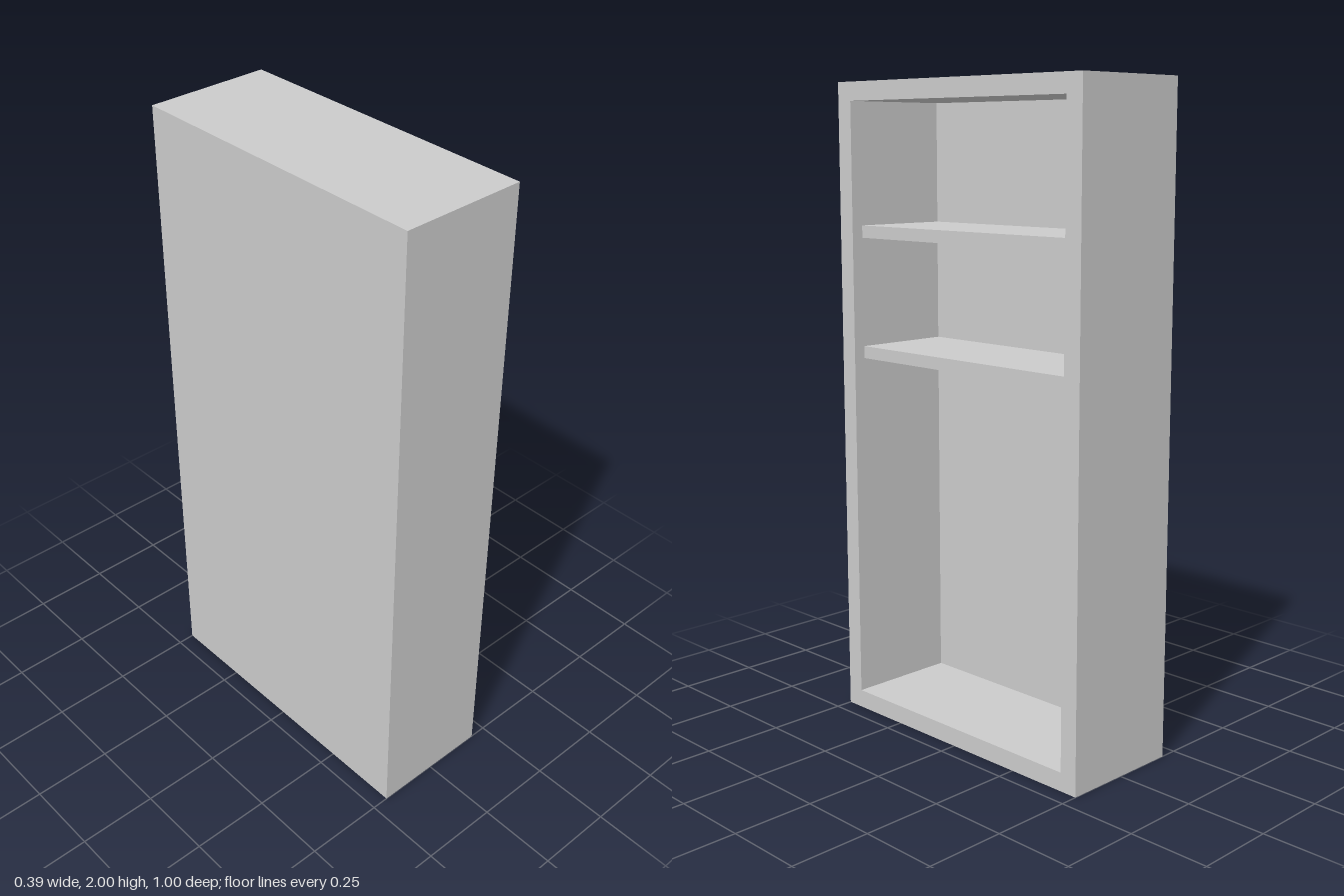
import * as THREE from 'three';

const H = 2, W = 1, D = 0.392;   // height, width along z, depth along x
const WALL = 0.057;              // side, top and bottom panels
const THIN = 0.038;              // shelves, back panel and shelf setback

export function createModel() {
  const group = new THREE.Group();
  group.name = 'openCabinet';
  const material = new THREE.MeshStandardMaterial({ color: 0xcccccc, flatShading: true });

  const add = (name, geometry) => {
    const mesh = new THREE.Mesh(geometry, material);
    mesh.name = name;
    group.add(mesh);
    return mesh;
  };

  // Rectangular frame, extruded through the depth and open towards +x
  const backX = -D / 2 + THIN;
  const z = W / 2 - WALL;
  const outline = new THREE.Shape([
    new THREE.Vector2(-W / 2, 0), new THREE.Vector2(W / 2, 0),
    new THREE.Vector2(W / 2, H), new THREE.Vector2(-W / 2, H),
  ]);
  outline.holes.push(new THREE.Path([
    new THREE.Vector2(-z, WALL), new THREE.Vector2(-z, H - WALL),
    new THREE.Vector2(z, H - WALL), new THREE.Vector2(z, WALL),
  ]));
  const frame = new THREE.ExtrudeGeometry(outline, { depth: D, bevelEnabled: false });
  frame.rotateY(Math.PI / 2).translate(-D / 2, 0, 0);
  add('frame', frame);

  // Back panel set inside the frame, flush with its rear
  add('backPanel', new THREE.BoxGeometry(THIN, H - 2 * WALL, 2 * z))
    .position.set(-D / 2 + THIN / 2, H / 2, 0);

  // Two shelves, set back from the opening
  const shelfFront = D / 2 - THIN;
  [['upperShelf', 1.548], ['lowerShelf', 1.171]].forEach(([name, y]) => {
    add(name, new THREE.BoxGeometry(shelfFront - backX, THIN, 2 * z))
      .position.set((shelfFront + backX) / 2, y, 0);
  });

  return group;
}
